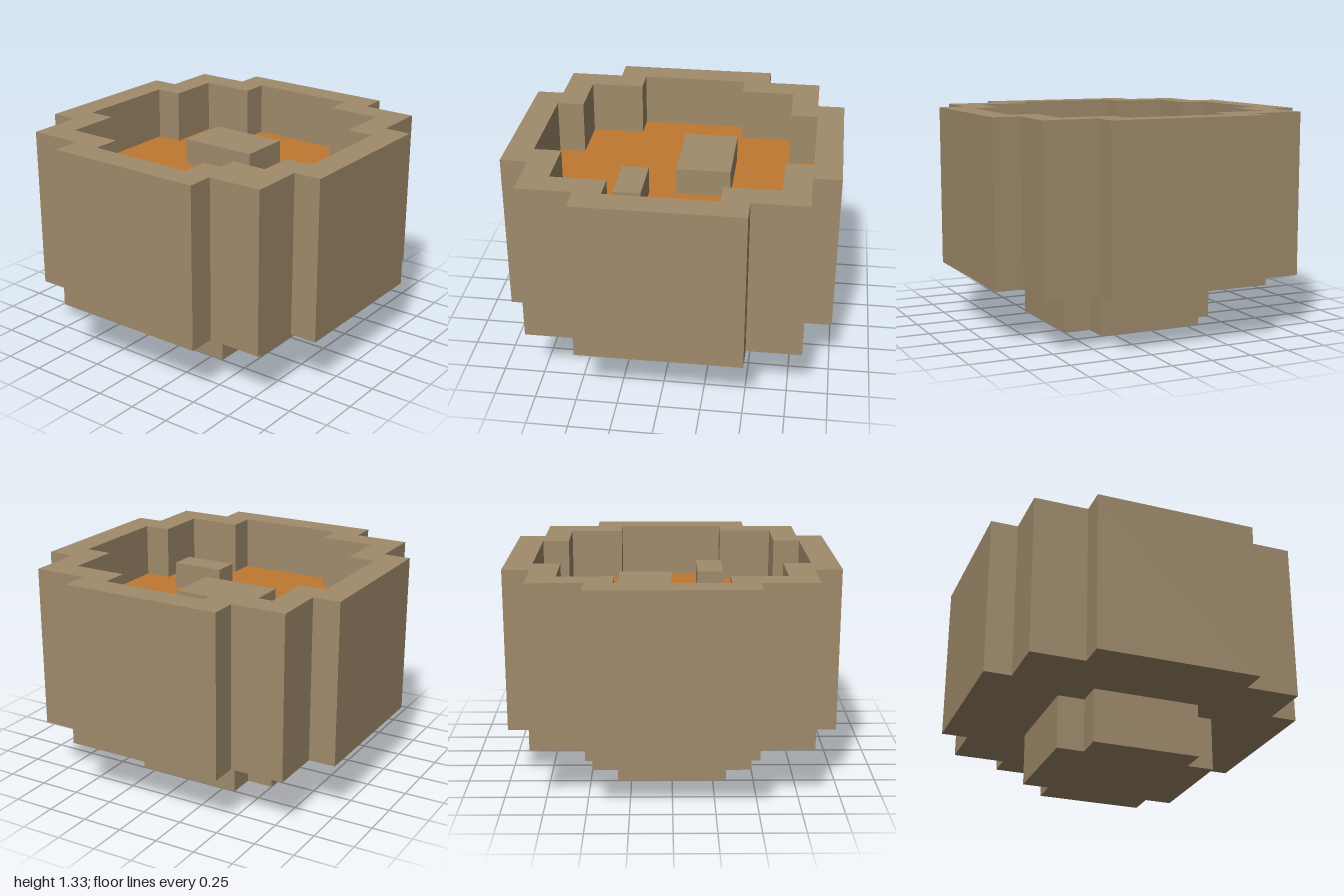
import * as THREE from 'three';

const U = 1 / 6; // block unit

// Stepped plan outline from one quarter's corners (in block units), mirrored to all four quarters
function outline(quarter) {
  const flip = [...quarter].reverse();
  return [
    ...quarter,
    ...flip.map(([x, z]) => [-x, z]),
    ...quarter.map(([x, z]) => [-x, -z]),
    ...flip.map(([x, z]) => [x, -z]),
  ].map(([x, z]) => new THREE.Vector2(x * U, z * U));
}

export function createModel() {
  const group = new THREE.Group();
  group.name = 'bowlOfSoup';

  const clay = new THREE.MeshStandardMaterial({ color: 0xa08b6b });
  clay.name = 'clay';
  const broth = new THREE.MeshStandardMaterial({ color: 0xc07832 });
  broth.name = 'broth';

  const add = (name, geometry, material) => {
    const mesh = new THREE.Mesh(geometry, material);
    mesh.name = name;
    group.add(mesh);
    return mesh;
  };

  // Upright prism of a plan between two heights
  const prism = (name, plan, y0, y1, material, hole) => {
    const shape = new THREE.Shape(plan);
    if (hole) shape.holes.push(new THREE.Path(hole));
    const geo = new THREE.ExtrudeGeometry(shape, { depth: (y1 - y0) * U, bevelEnabled: false });
    geo.rotateX(-Math.PI / 2);
    geo.translate(0, y0 * U, 0);
    return add(name, geo, material);
  };

  const outer = outline([[6, 3], [5, 3], [5, 5], [3, 5], [3, 6]]);
  const inner = outline([[5, 2], [4, 2], [4, 4], [2, 4], [2, 5]]);
  const base = outline([[3, 2], [2, 2], [2, 3]]);

  // Bowl
  prism('foot', base, 0, 2, clay);
  prism('bowlWall', outer, 2, 8, clay, inner);
  prism('bowlFloor', inner, 2, 3, clay);

  // Contents
  prism('soup', inner, 3, 6, broth);

  // Chunks floating in the soup: [name, x0, x1, z0, z1]
  for (const [name, x0, x1, z0, z1] of [
    ['largeChunk', -2, 1, -2, 0],
    ['smallChunk', 1, 3, 1, 2],
  ]) {
    const chunk = add(name, new THREE.BoxGeometry((x1 - x0) * U, U, (z1 - z0) * U), clay);
    chunk.position.set((x0 + x1) / 2 * U, 6.5 * U, (z0 + z1) / 2 * U);
  }

  return group;
}
